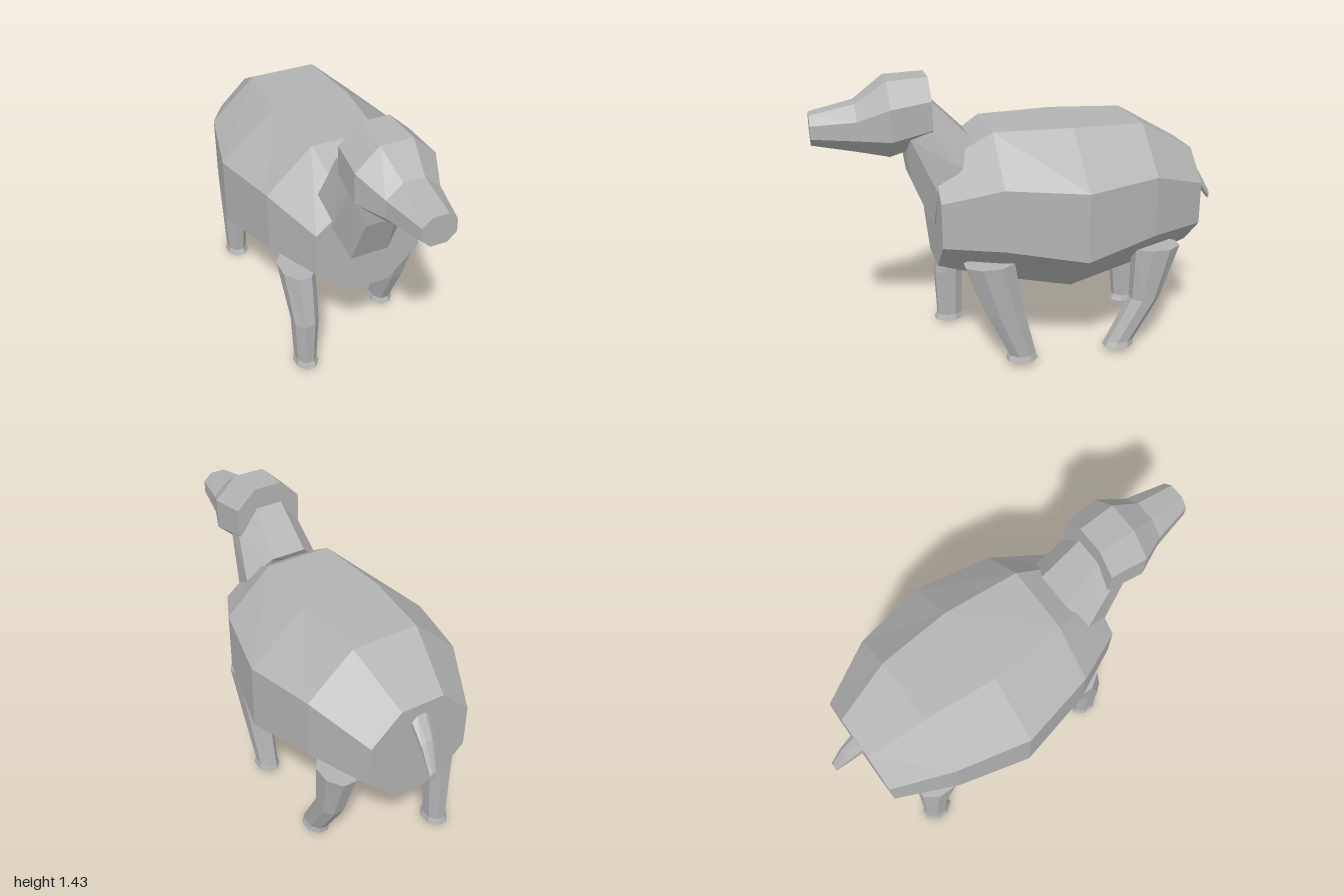
import * as THREE from 'three';

const woolGrey = new THREE.MeshStandardMaterial({ color: 0xb3b3b3, flatShading: true });
woolGrey.name = 'woolGrey';

// Skin a series of rings (arrays of points) and cap both ends, facing outwards
function loft(name, rings) {
  const n = rings[0].length;
  const tris = [];
  const add = (a, b, c) => tris.push([a, b, c]);
  for (let r = 0; r < rings.length - 1; r++) {
    for (let i = 0; i < n; i++) {
      const j = (i + 1) % n, A = rings[r], B = rings[r + 1];
      add(A[i], B[i], B[j]);
      add(A[i], B[j], A[j]);
    }
  }
  const first = rings[0], last = rings[rings.length - 1];
  for (let i = 1; i < n - 1; i++) {
    add(first[0], first[i], first[i + 1]);
    add(last[0], last[i + 1], last[i]);
  }
  // Signed volume decides the winding
  let volume = 0;
  for (const [a, b, c] of tris) volume += a.dot(b.clone().cross(c));
  const pos = [];
  for (const [a, b, c] of tris) {
    for (const p of volume < 0 ? [a, c, b] : [a, b, c]) pos.push(p.x, p.y, p.z);
  }
  const geo = new THREE.BufferGeometry();
  geo.setAttribute('position', new THREE.Float32BufferAttribute(pos, 3));
  geo.computeVertexNormals();
  const mesh = new THREE.Mesh(geo, woolGrey);
  mesh.name = name;
  return mesh;
}

// Eight-sided ring from four [half width, y, z] points, top to bottom, mirrored about cx
function ring(points, cx = 0) {
  const right = points.map(([x, y, z]) => new THREE.Vector3(cx + x, y, z));
  const left = points.map(([x, y, z]) => new THREE.Vector3(cx - x, y, z)).reverse();
  return [...right, ...left];
}

// Upright octagon: z, outer and inner half widths, then top, upper, lower and bottom heights
const uprightRing = (z, W, w, top, upper, lower, bottom, cx = 0) =>
  ring([[w, top, z], [W, upper, z], [W, lower, z], [w, bottom, z]], cx);

// Level octagon for the legs: height, z range, half width
function levelRing(cx, [y, zFront, zBack, half]) {
  const mid = (zFront + zBack) / 2, r = (zFront - zBack) / 2;
  return ring([[half * 0.41, y, mid + r], [half, y, mid + r * 0.41],
    [half, y, mid - r * 0.41], [half * 0.41, y, mid - r]], cx);
}

export function createModel() {
  const model = new THREE.Group();
  model.name = 'sheep';

  // Barrel body
  model.add(loft('body', [
    uprightRing(0.45, 0.265, 0.11, 1.01, 0.88, 0.66, 0.505),
    uprightRing(0.18, 0.39, 0.165, 1.175, 0.965, 0.665, 0.44),
    uprightRing(-0.2, 0.47, 0.195, 1.175, 0.94, 0.6, 0.36),
    uprightRing(-0.56, 0.39, 0.165, 1.165, 0.96, 0.665, 0.44),
    uprightRing(-0.85, 0.255, 0.108, 1.0, 0.86, 0.65, 0.505),
  ]));

  // Neck, leaning forward into the head
  model.add(loft('neck', [
    ring([[0.09, 1.14, 0.275], [0.205, 1.02, 0.335], [0.19, 0.91, 0.45], [0.095, 0.705, 0.46]]),
    ring([[0.068, 1.33, 0.462], [0.165, 1.205, 0.48], [0.16, 1.17, 0.565], [0.075, 0.955, 0.56]]),
    ring([[0.06, 1.34, 0.52], [0.13, 1.28, 0.55], [0.13, 1.22, 0.59], [0.075, 1.1, 0.575]]),
  ]));

  // Head tapering to the muzzle
  model.add(loft('head', [
    uprightRing(1.0, 0.08, 0.038, 1.285, 1.245, 1.185, 1.145, 0.018),
    uprightRing(0.795, 0.125, 0.05, 1.325, 1.26, 1.172, 1.1, 0.012),
    uprightRing(0.65, 0.188, 0.077, 1.425, 1.32, 1.17, 1.07, 0.007),
    uprightRing(0.46, 0.168, 0.07, 1.432, 1.34, 1.205, 1.12, 0.003),
  ]));

  // Legs in mid-stride: [height, front z, back z, half width] from hip to hoof
  const legs = {
    frontLegLeft: [0.275, [
      [0.565, 0.35, 0.115, 0.08], [0.3, 0.25, 0.065, 0.062],
      [0.06, 0.135, 0.005, 0.05], [0.03, 0.147, -0.005, 0.059]]],
    frontLegRight: [-0.28, [
      [0.565, 0.355, 0.12, 0.08], [0.3, 0.405, 0.26, 0.062],
      [0.045, 0.395, 0.27, 0.05], [0.015, 0.41, 0.26, 0.058]]],
    hindLegLeft: [0.275, [
      [0.565, -0.5, -0.73, 0.08], [0.29, -0.495, -0.64, 0.062],
      [0.065, -0.375, -0.51, 0.05], [0.035, -0.36, -0.51, 0.059]]],
    hindLegRight: [-0.28, [
      [0.565, -0.5, -0.73, 0.08], [0.29, -0.59, -0.735, 0.062],
      [0.03, -0.615, -0.74, 0.05], [0.0, -0.6, -0.752, 0.058]]],
  };
  for (const [name, [cx, rows]] of Object.entries(legs)) {
    model.add(loft(name, rows.map((row) => levelRing(cx, row))));
  }

  // Thin tail hanging behind, drifting to one side
  model.add(loft('tail', [
    uprightRing(-0.84, 0.048, 0.022, 0.955, 0.93, 0.89, 0.865, 0.002),
    uprightRing(-0.93, 0.036, 0.016, 0.86, 0.835, 0.805, 0.785, 0.014),
    uprightRing(-1.0, 0.02, 0.009, 0.735, 0.72, 0.705, 0.69, 0.03),
  ]));

  return model;
}
